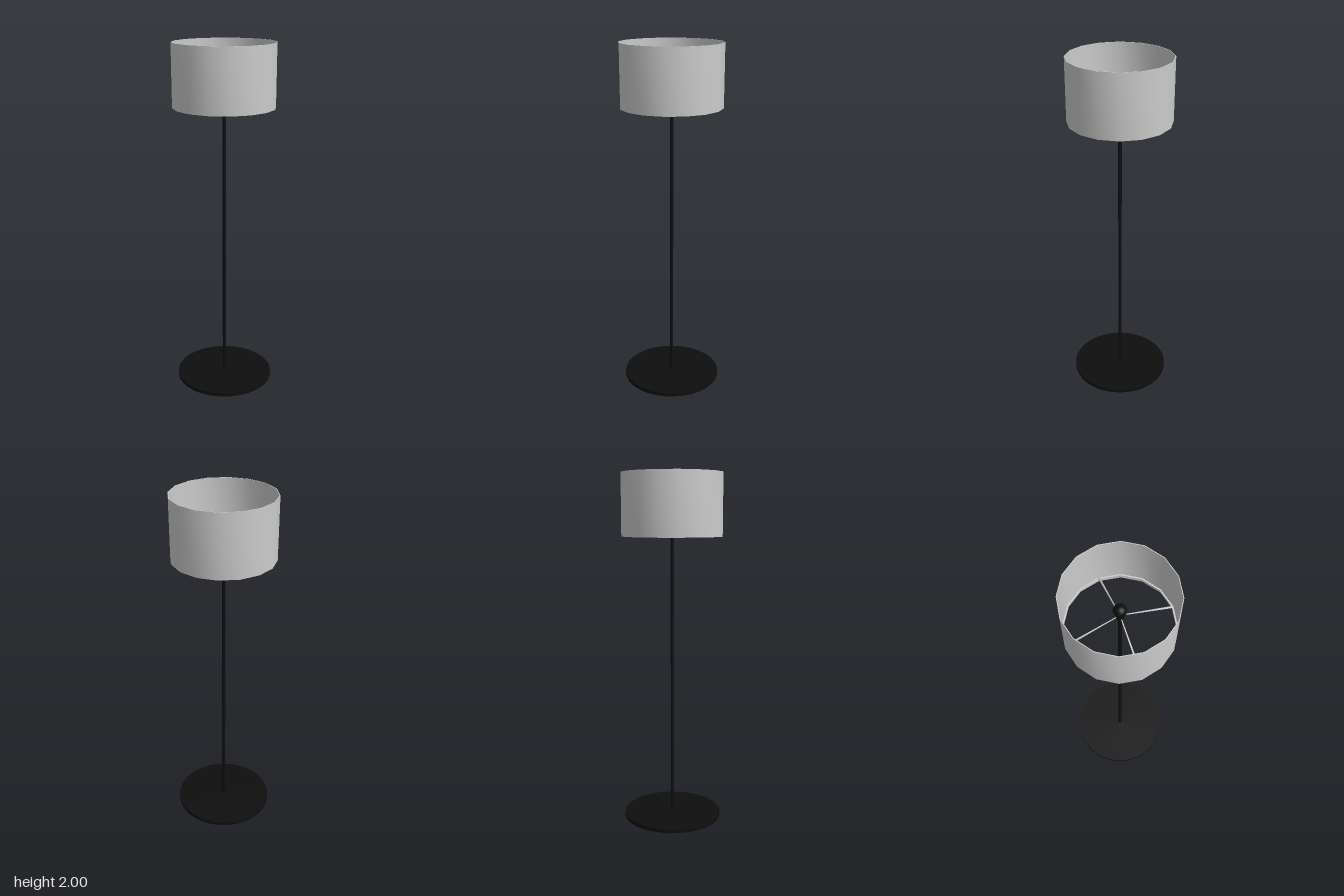
import * as THREE from 'three';
import { toCreasedNormals } from 'three/addons/utils/BufferGeometryUtils.js';

const grey = new THREE.MeshStandardMaterial({ color: 0xcccccc, side: THREE.DoubleSide });
const black = new THREE.MeshStandardMaterial({ color: 0x0e0e0e });

// Hollow 16-sided band with a rectangular section
function band(inner, outer, bottom, top) {
  const profile = [[inner, bottom], [outer, bottom], [outer, top], [inner, top], [inner, bottom]]
    .map(([r, y]) => new THREE.Vector2(r, y));
  return toCreasedNormals(new THREE.LatheGeometry(profile, 16), Math.PI / 5);
}

export function createModel() {
  const lamp = new THREE.Group();
  lamp.name = 'floorLamp';

  function add(name, geometry, material, y = 0) {
    const mesh = new THREE.Mesh(geometry, material);
    mesh.name = name;
    mesh.position.y = y;
    lamp.add(mesh);
    return mesh;
  }

  // Stand
  add('base', new THREE.CylinderGeometry(0.283, 0.283, 0.022, 32), black, 0.011);
  add('pole', new THREE.CylinderGeometry(0.01, 0.01, 1.79, 16), black, 0.915);
  add('socket', new THREE.CylinderGeometry(0.02, 0.02, 0.05, 16), black, 1.815);
  add('bulb', new THREE.SphereGeometry(0.034, 24, 16), black, 1.86);

  // Shade with its inner support ring
  add('shade', band(0.283, 0.287, 1.65, 2), grey);
  add('supportRing', band(0.275, 0.284, 1.675, 1.687), grey);

  // Four tapered spokes sloping from the ring up to the socket
  const up = new THREE.Vector3(0, 1, 0);
  for (let i = 0; i < 4; i++) {
    const angle = i * Math.PI / 2;
    const at = (r, y) => new THREE.Vector3(Math.sin(angle) * r, y, Math.cos(angle) * r);
    const rim = at(0.279, 1.683);
    const hub = at(0.012, 1.803);
    const direction = hub.clone().sub(rim);
    const spoke = add('spoke', new THREE.CylinderGeometry(0.0025, 0.006, direction.length(), 8), grey);
    spoke.position.copy(rim).add(hub).multiplyScalar(0.5);
    spoke.quaternion.setFromUnitVectors(up, direction.normalize());
  }

  return lamp;
}
